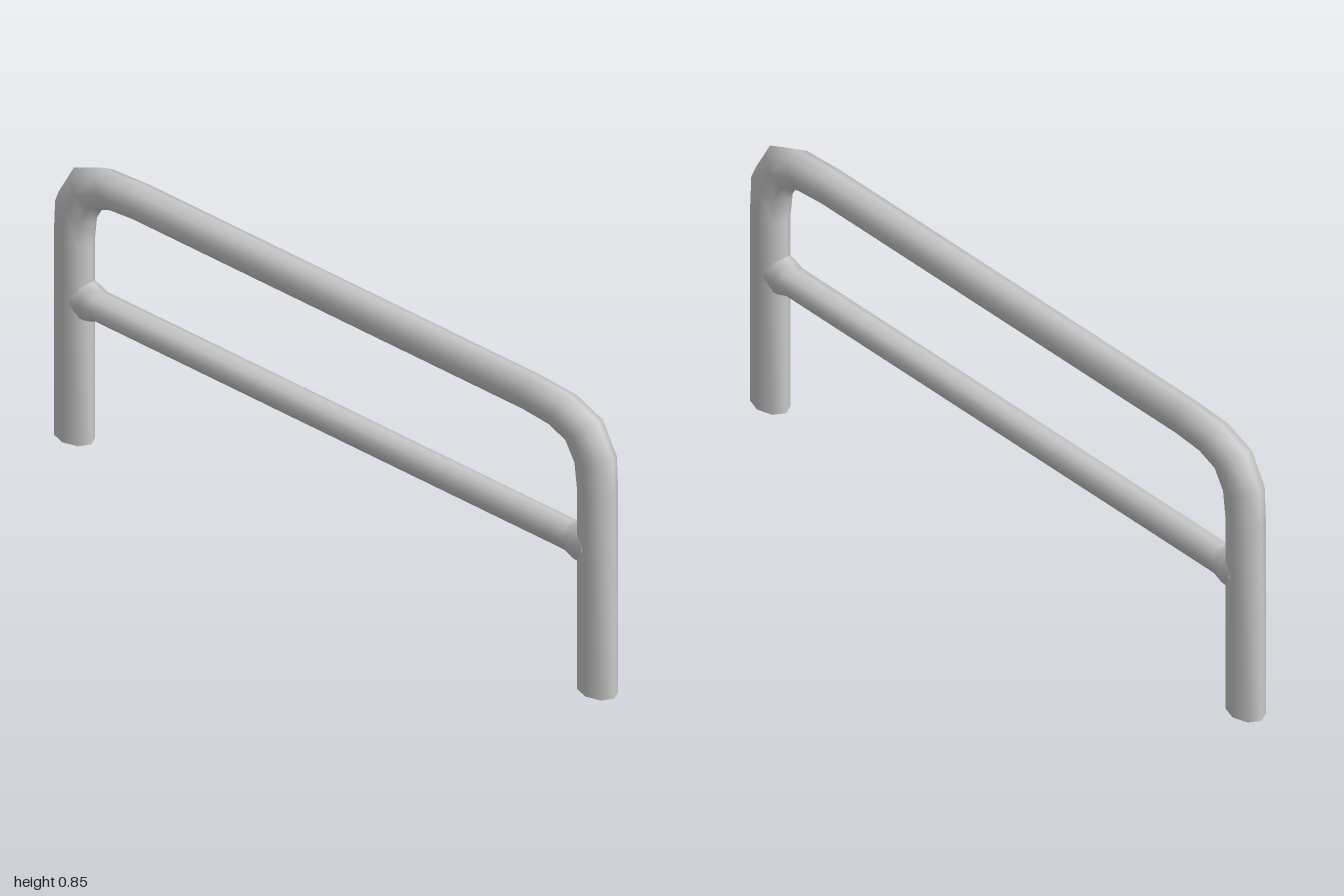
import * as THREE from 'three';

const SIDES = 8;
const material = new THREE.MeshStandardMaterial({ color: 0xcccccc });

// Mirror half a run of stations [zOuter, yOuter, zInner, yInner, halfWidth] to -z
const mirrored = (half) => [
  ...half,
  ...half.slice().reverse().map(([zo, yo, zi, yi, w]) => [-zo, yo, -zi, yi, w]),
];

// Oval rings spanning each station's outer and inner point, joined into a capped tube
function sweep(name, stations) {
  const pos = [], index = [];
  const addRing = ([zo, yo, zi, yi, w]) => {
    for (let j = 0; j < SIDES; j++) {
      const a = (j / SIDES) * Math.PI * 2, c = Math.cos(a) / 2;
      pos.push(w * Math.sin(a), (yo + yi) / 2 + (yo - yi) * c, (zo + zi) / 2 + (zo - zi) * c);
    }
  };
  stations.forEach(addRing);
  for (let i = 0; i < stations.length - 1; i++) {
    for (let j = 0; j < SIDES; j++) {
      const k = (j + 1) % SIDES, a = i * SIDES, b = a + SIDES;
      index.push(a + j, a + k, b + j, a + k, b + k, b + j);
    }
  }
  // Flat end caps with their own vertices
  [[stations[0], true], [stations[stations.length - 1], false]].forEach(([s, start]) => {
    const base = pos.length / 3;
    addRing(s);
    for (let j = 1; j < SIDES - 1; j++) {
      index.push(base, base + (start ? j + 1 : j), base + (start ? j : j + 1));
    }
  });
  const geo = new THREE.BufferGeometry();
  geo.setAttribute('position', new THREE.Float32BufferAttribute(pos, 3));
  geo.setIndex(index);
  geo.computeVertexNormals();
  const mesh = new THREE.Mesh(geo, material);
  mesh.name = name;
  return mesh;
}

export function createModel() {
  const group = new THREE.Group();
  group.name = 'barrierRail';

  // Bent hoop: two legs, rounded corners and the top rail
  group.add(sweep('hoopFrame', mirrored([
    [1.0, 0, 0.877, 0, 0.045],
    [1.0, 0.6, 0.877, 0.6, 0.045],
    [0.995, 0.71, 0.868, 0.67, 0.046],
    [0.94, 0.805, 0.84, 0.718, 0.047],
    [0.84, 0.845, 0.785, 0.738, 0.046],
    [0.7, 0.853, 0.7, 0.745, 0.045],
  ])));

  // Thinner middle bar, flared where it meets the legs
  group.add(sweep('crossBar', mirrored([
    [0.92, 0.495, 0.92, 0.36, 0.042],
    [0.877, 0.487, 0.877, 0.367, 0.042],
    [0.845, 0.47, 0.845, 0.384, 0.04],
  ])));

  return group;
}
